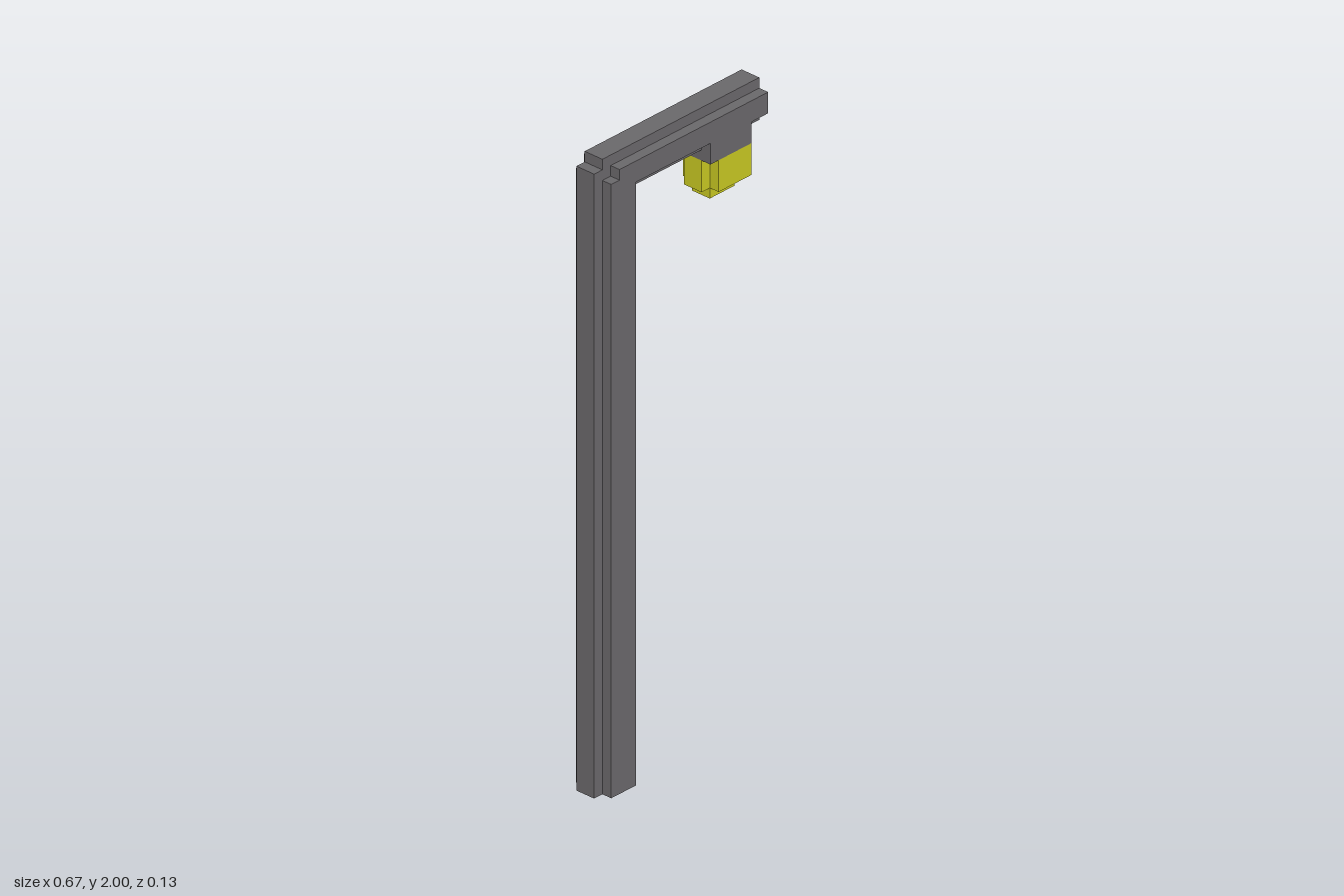
import * as THREE from 'three';

const U = 1 / 30; // one block of the stepped grid

export function createModel() {
  const metal = new THREE.MeshStandardMaterial({ color: 0x69676a });
  metal.name = 'dark grey metal';
  const glow = new THREE.MeshStandardMaterial({ color: 0xc6c622 });
  glow.name = 'yellow lamp';

  const model = new THREE.Group();
  model.name = 'streetLamp';

  // Outline in block units, extruded evenly to both sides of z = 0
  function slab(name, points, halfDepth, material) {
    const shape = new THREE.Shape(points.map(([x, y]) => new THREE.Vector2(x * U, y * U)));
    const geometry = new THREE.ExtrudeGeometry(shape, { depth: 2 * halfDepth * U, bevelEnabled: false });
    geometry.translate(0, 0, -halfDepth * U);
    const mesh = new THREE.Mesh(geometry, material);
    mesh.name = name;
    model.add(mesh);
  }

  const rect = (x0, y0, x1, y1) => [[x0, y0], [x1, y0], [x1, y1], [x0, y1]];

  // Narrow core of post, arm and lamp holder
  slab('postAndArmCore', [
    [-10, 0], [-5, 0], [-5, 56], [3, 56], [3, 55], [9, 55], [9, 56],
    [10, 56], [10, 60], [-9, 60], [-9, 59], [-10, 59],
  ], 1, metal);

  // Wider cheeks of post, arm and lamp holder
  slab('postAndArmCheeks', [
    [-9, 0], [-6, 0], [-6, 57], [3, 57], [3, 55], [8, 55], [8, 57],
    [10, 57], [10, 59], [-8, 59], [-8, 58], [-9, 58],
  ], 2, metal);

  // Cross-shaped lamp with a small tip underneath
  slab('lampCore', rect(3, 52, 9, 55), 1, glow);
  slab('lampCheeks', rect(4, 52, 8, 55), 2, glow);
  slab('lampTip', rect(4, 51, 7, 52), 1, glow);

  return model;
}
